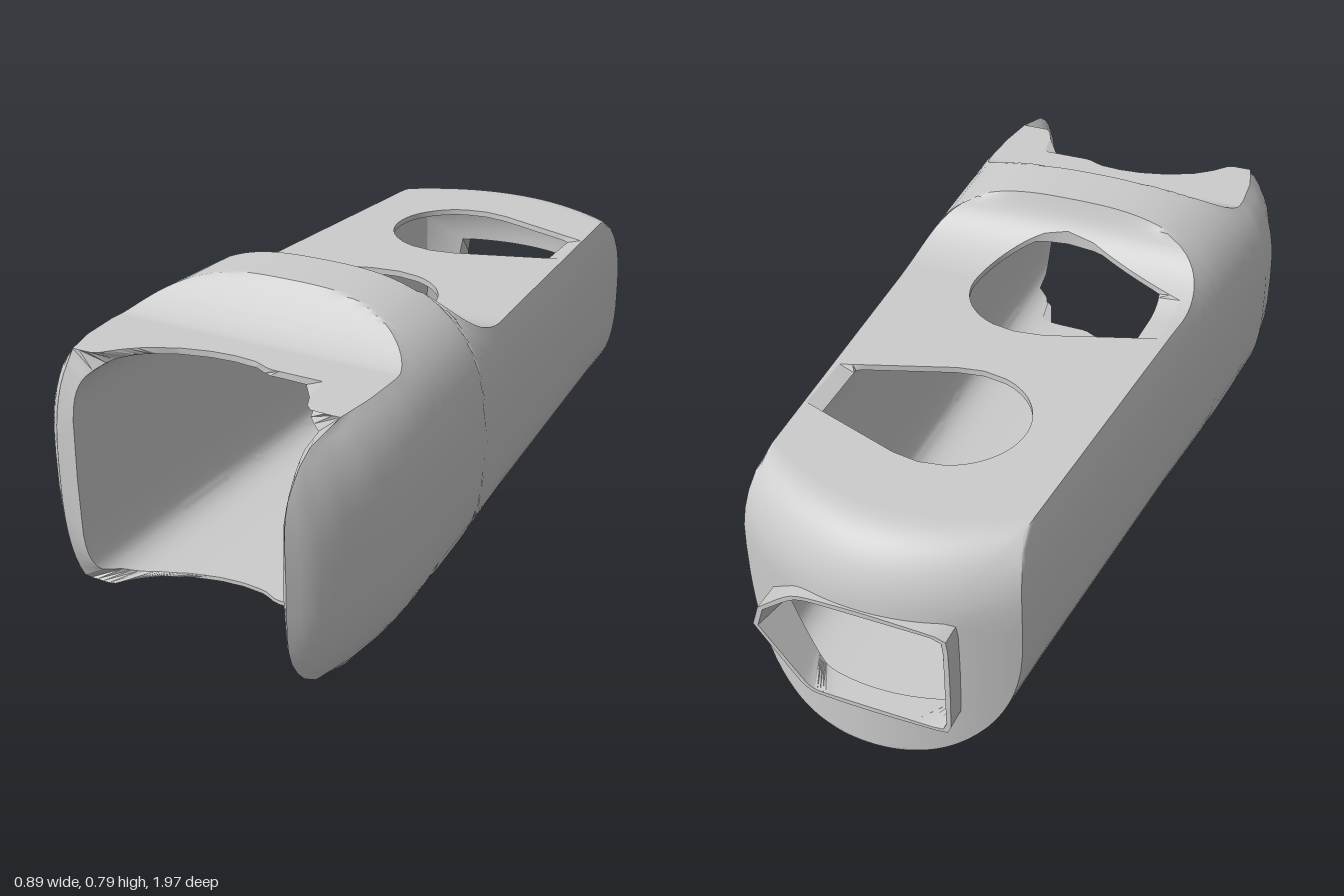
import * as THREE from 'three';
import { toCreasedNormals } from 'three/addons/utils/BufferGeometryUtils.js';

const YC = 0.395, FRONT = 0.6, BACK = -0.7, TOP = 20, SIDE = 16, BOTTOM = 40;
const lerp = THREE.MathUtils.lerp;

// Piecewise linear lookup in a short list of [input, output] pairs
function lookup(table, v) {
  if (v <= table[0][0]) return table[0][1];
  for (let i = 1; i < table.length; i++) {
    const [a, fa] = table[i - 1], [b, fb] = table[i];
    if (v <= b) return lerp(fa, fb, (v - a) / (b - a));
  }
  return table[table.length - 1][1];
}

// Half widths along z, for the +x and -x sides
const OUTER_W = {
  1: [[-0.9, 0.342], [0, 0.4], [0.3, 0.426], [0.6, 0.445], [0.7, 0.443], [0.8, 0.43], [0.9, 0.4], [0.96, 0.37], [1, 0.337]],
  [-1]: [[-0.9, 0.318], [0, 0.393], [0.3, 0.425], [0.6, 0.447], [0.7, 0.437], [0.78, 0.41], [0.83, 0.36]],
};
const INNER_W = {
  1: [[-0.9, 0.29], [0.6, 0.325], [1, 0.33]],
  [-1]: [[-0.9, 0.27], [0.6, 0.308], [0.83, 0.31]],
};
// Front edge of the top and bottom plates, z against x
const PLATE_EDGE = [[-0.34, 0.78], [-0.3, 0.78], [-0.25, 0.735], [-0.2, 0.7], [-0.13, 0.668], [-0.06, 0.65], [0, 0.645],
  [0.06, 0.65], [0.1, 0.67], [0.245, 0.67], [0.255, 0.77], [0.29, 0.8]];

// Height of the top: front plate, raised band, fillet, flat deck
function topY(z) {
  if (z >= 0.57) return 0.69;
  if (z >= 0.42) return 0.69 + 0.1 * ((0.57 - z) / 0.15) ** 1.6;
  if (z >= 0.266) return 0.79;
  if (z > 0.06) return 0.63 + 0.16 * (1 - Math.sqrt(1 - ((z - 0.06) / 0.206) ** 2));
  return 0.63;
}
function bottomY(z) {
  return z >= 0.57 ? 0.105 : z >= 0.42 ? 0.105 - 0.105 * ((0.57 - z) / 0.15) ** 1.6 : 0;
}

// Teardrop holes in the deck: a circle flaring out to one side
function holeSpan(z) {
  for (const [cz, side, reach] of [[-0.48, 1, 0.325], [0.06, -1, 0.335]]) {
    const d = Math.abs(z - cz);
    if (d > 0.18 - 1e-6) continue;
    const round = Math.sqrt(0.0324 - d * d);
    const flare = Math.max(round, Math.min(reach, reach - (d - 0.08) * 2.9));
    return side > 0 ? [-round, flare] : [-flare, round];
  }
  return [0, 0];
}

// Cross-section at z: from the hole's +x edge, clockwise round to its -x edge
function section(z, inner) {
  const n = inner ? 7 : 2.8, W = inner ? INNER_W : OUTER_W;
  const bt = inner ? 0.28 : 0.395;
  const bb = inner ? 0.28 : 0.395 - 0.075 * Math.max(0, (0.42 - z) / 1.38);
  const top = inner ? topY(z) - 0.015 : topY(z);
  const bot = inner ? 0.1 : bottomY(z);
  const wR = lookup(W[1], z), wL = lookup(W[-1], z);
  const vt = Math.min((top - YC) / bt, 0.9), vb = Math.min((YC - bot) / bb, 0.9);
  const widthAt = v => (1 - v ** n) ** (1 / n);
  const rise = x => (1 - Math.min(1, Math.abs(x) / (x > 0 ? wR : wL)) ** n) ** (1 / n);
  const pts = [];
  const put = (x, y, part, d = 0) => pts.push({ x, y, z, part, d });
  const xr = wR * widthAt(vt), xl = -wL * widthAt(vt);
  let [h0, h1] = holeSpan(z);
  h0 = Math.max(h0, xl + 0.005);
  h1 = Math.min(h1, xr - 0.005);
  const roof = x => put(x, Math.min(top, YC + bt * rise(x)), 0);
  const wall = (s, k) => {
    const ft = Math.asin(vt ** (n / 2)), fb = -Math.asin(vb ** (n / 2));
    const f = lerp(ft, fb, k / SIDE), v = Math.abs(Math.sin(f)) ** (2 / n);
    const up = f > 0;
    put(s * (s > 0 ? wR : wL) * Math.cos(f) ** (2 / n), YC + (up ? v * bt : -v * bb), s, v / (up ? vt : vb));
  };
  for (let i = 0; i < TOP; i++) roof(lerp(h1, xr, i / TOP));
  for (let i = 0; i <= SIDE; i++) wall(1, i);
  for (let i = 1; i < BOTTOM; i++) {
    const x = lerp(wR * widthAt(vb), -wL * widthAt(vb), i / BOTTOM);
    put(x, Math.max(bot, YC - bb * rise(x)), 0);
  }
  for (let i = SIDE; i >= 0; i--) wall(-1, i);
  for (let i = 1; i <= TOP; i++) roof(lerp(xl, h0, i / TOP));
  return pts;
}

// Front lips: rounded side walls, the +x one longer, and scooped plates
function frontZ(p) {
  if (!p.part) return lookup(PLATE_EDGE, p.x);
  const r = 1 - Math.sqrt(Math.max(0, 1 - Math.min(1, p.d) ** 4));
  return p.part > 0 ? 1 - 0.2 * r : 0.83 - 0.05 * r;
}
// Domed back end, rolled over at the top
function backZ(x, y) {
  const q = THREE.MathUtils.clamp((y - 0.45) / 0.18, 0, 1);
  return -0.965 + 0.12 * (x / 0.33) ** 2 + 0.13 * (1 - Math.sqrt(1 - q * q));
}

// Stretch an end section toward its curved edge
function stretched(z0, inner, target, t) {
  const W = inner ? INNER_W : OUTER_W;
  return section(z0, inner).map(p => {
    const w = W[p.x < 0 ? -1 : 1], z = lerp(z0, target(p), t);
    return { x: p.x * lookup(w, z) / lookup(w, z0), y: p.y, z };
  });
}

// Port outline: distance from its centre along a direction, corners softened
const PORT_Y = 0.32;
const PORT = [[-1, 0, 0.195], [0, -1, 0.135], [0, 1, 0.132], [0.792, -0.611, 0.1855], [0.609, 0.795, 0.193]];
function portPoint(p, grow, z) {
  const l = Math.hypot(p.x, p.y - PORT_Y), dx = p.x / l, dy = (p.y - PORT_Y) / l;
  let sum = 0;
  for (const [nx, ny, d] of PORT) sum += (Math.max(0, nx * dx + ny * dy) / d) ** 20;
  const r = sum ** (-1 / 20) + grow;
  const x = dx * r, y = PORT_Y + dy * r;
  return { x, y, z: z ?? backZ(x, y) };
}
function capRow(ring, s, grow, offset) {
  return ring.map(p => {
    const e = portPoint(p, grow), x = lerp(p.x, e.x, s), y = lerp(p.y, e.y, s);
    return { x, y, z: backZ(x, y) + offset };
  });
}

// One skin, from front edge to port
function skin(inner) {
  const rows = [], offset = inner ? 0.05 : 0, grow = inner ? 0 : 0.012;
  for (let i = 14; i > 0; i--) rows.push(stretched(FRONT, inner, frontZ, Math.sin(i / 14 * Math.PI / 2)));
  const start = rows.length;
  for (let i = 60; i >= -70; i--) rows.push(section(i / 100, inner));
  const end = rows.length - 1;
  for (let i = 1; i <= 12; i++) {
    rows.push(stretched(BACK, inner, p => backZ(p.x, p.y) + offset, i / 12));
  }
  const ring = rows[rows.length - 1];
  for (let i = 1; i <= 12; i++) rows.push(capRow(ring, (i / 12) ** 1.7, grow, offset));
  return { rows, start, end, ring };
}

function buildGeometry(quads) {
  const pos = [];
  const same = (a, b) => Math.hypot(a.x - b.x, a.y - b.y, a.z - b.z) < 1e-6;
  const tri = (a, b, c) => {
    if (same(a, b) || same(b, c) || same(a, c)) return;
    for (const p of [a, b, c]) pos.push(p.x, p.y, p.z);
  };
  for (const [a, b, c, d] of quads) { tri(a, b, c); tri(a, c, d); }
  const g = new THREE.BufferGeometry();
  g.setAttribute('position', new THREE.Float32BufferAttribute(pos, 3));
  return toCreasedNormals(g, 0.55);
}
function bridge(rows) {
  const quads = [];
  for (let k = 0; k + 1 < rows.length; k++)
    for (let i = 0; i + 1 < rows[k].length; i++)
      quads.push([rows[k][i], rows[k][i + 1], rows[k + 1][i + 1], rows[k + 1][i]]);
  return quads;
}

export function createModel() {
  const group = new THREE.Group();
  group.name = 'hollowHousing';
  const material = new THREE.MeshStandardMaterial({ color: 0xcccccc, side: THREE.DoubleSide });
  const add = (name, quads) => {
    const mesh = new THREE.Mesh(buildGeometry(quads), material);
    mesh.name = name;
    group.add(mesh);
  };
  const outer = skin(false), inner = skin(true);
  const last = rows => rows[rows.length - 1];

  add('outerShell', bridge(outer.rows));
  add('cavity', bridge([...inner.rows].reverse()));
  add('frontRim', bridge([inner.rows[0], outer.rows[0]]));

  // Thin lip standing out round the rear port
  const lip = grow => outer.ring.map(p => portPoint(p, grow, -0.97));
  add('portLip', bridge([last(outer.rows), lip(0.012), lip(0), last(inner.rows)]));

  // Walls of the two deck holes
  const walls = [];
  for (let k = outer.start; k < outer.end; k++) {
    const [o, o2, n, n2] = [outer.rows[k], outer.rows[k + 1], inner.rows[k], inner.rows[k + 1]];
    const open = r => r[0].x - last(r).x > 1e-6;
    if (!open(o) && !open(o2)) continue;
    walls.push([o[0], o2[0], n2[0], n[0]], [last(n), last(n2), last(o2), last(o)]);
  }
  add('deckHoleWalls', walls);
  return group;
}
